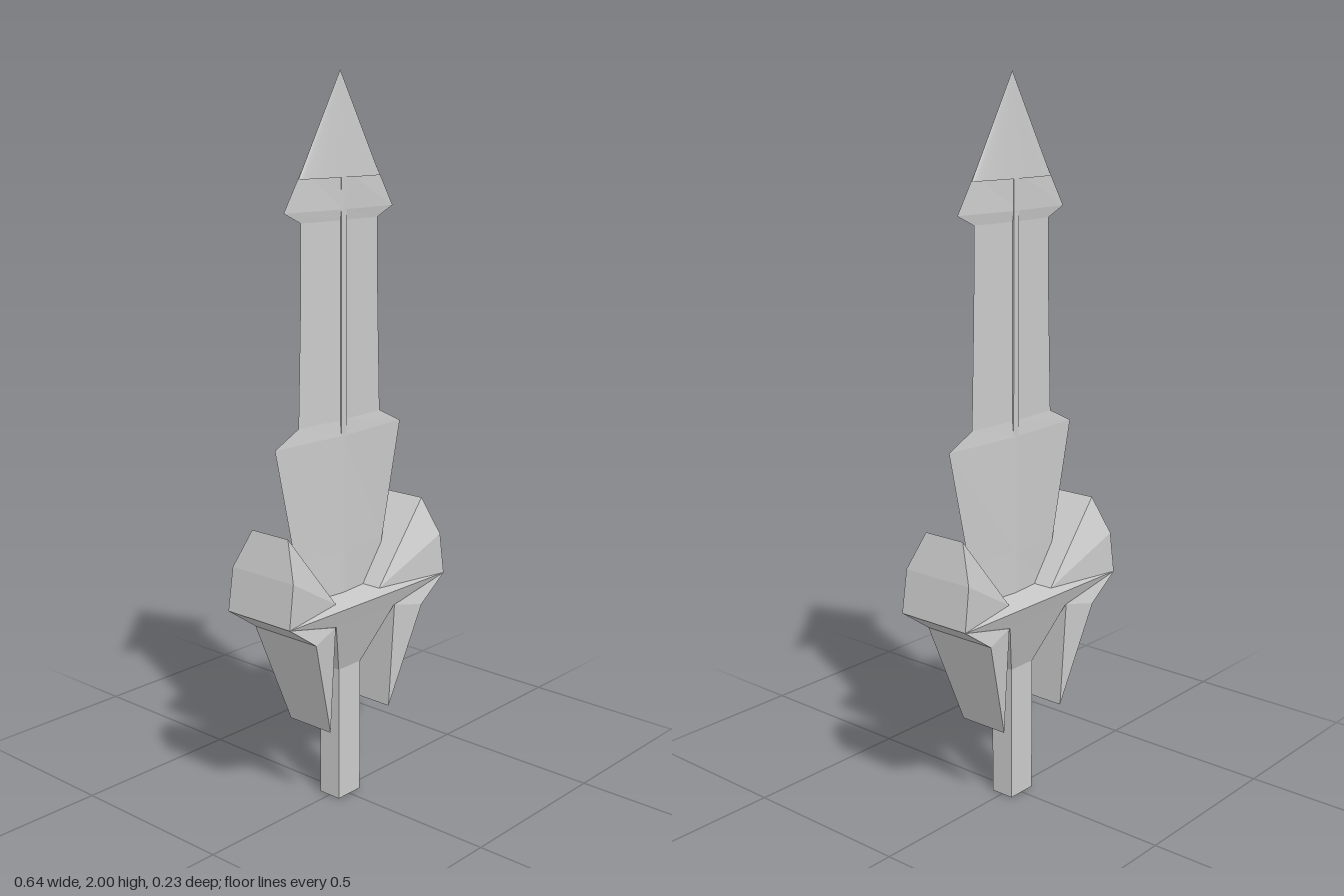
import * as THREE from 'three';

const material = new THREE.MeshStandardMaterial({ color: 0xcccccc, flatShading: true });
const smooth = new THREE.MeshStandardMaterial({ color: 0xcccccc });

function flatGeometry(triangles) {
  const geometry = new THREE.BufferGeometry();
  geometry.setAttribute('position', new THREE.Float32BufferAttribute(triangles.flat(2), 3));
  geometry.computeVertexNormals();
  return geometry;
}

// Solid symmetric in z: counter-clockwise outline of [x, y, halfDepth], fanned from its first corner
function slab(outline) {
  const front = outline;
  const back = outline.map(([x, y, z]) => [x, y, -z]);
  const n = outline.length;
  const tris = [];
  for (let i = 1; i < n - 1; i++) {
    tris.push([front[0], front[i], front[i + 1]], [back[0], back[i + 1], back[i]]);
  }
  for (let i = 0; i < n; i++) {
    const j = (i + 1) % n;
    tris.push([front[i], back[i], back[j]], [front[i], back[j], front[j]]);
  }
  return flatGeometry(tris);
}

// Same outline on the other side, keeping the first corner and the winding
function mirrored([first, ...rest]) {
  return [first, ...rest.reverse()].map(([x, y, z]) => [-x, y, z]);
}

// Diamond-section blade from rows of [y, halfWidth, halfThickness]
function diamondLoft(rows) {
  const rings = rows.map(([y, w, t]) => [[w, y, 0], [0, y, t], [-w, y, 0], [0, y, -t]]);
  const tris = [];
  for (let i = 0; i < rings.length - 1; i++) {
    const low = rings[i], high = rings[i + 1];
    for (let j = 0; j < 4; j++) {
      const k = (j + 1) % 4;
      tris.push([low[j], high[k], low[k]], [low[j], high[j], high[k]]);
    }
  }
  const [a, b, c, d] = rings[0];
  const [e, f, g, h] = rings[rings.length - 1];
  tris.push([a, b, c], [a, c, d], [e, g, f], [e, h, g]);
  return flatGeometry(tris);
}

export function createModel() {
  const model = new THREE.Group();
  const add = (name, geometry, mat = material) => {
    const mesh = new THREE.Mesh(geometry, mat);
    mesh.name = name;
    model.add(mesh);
    return mesh;
  };

  // Square grip
  add('grip', new THREE.BoxGeometry(0.09, 0.4, 0.07)).position.y = 0.2;

  // Crossguard, flat on top and narrowing to the grip
  add('crossguard', slab([
    [-0.12, 0.55, 0.094], [-0.045, 0.39, 0.035], [0.045, 0.39, 0.035],
    [0.12, 0.55, 0.094], [0.32, 0.6, 0.113], [-0.32, 0.6, 0.113],
  ]));

  // Raised wings and hanging claws on both ends of the guard
  const wing = [[0.09, 0.6, 0.065], [0.32, 0.6, 0.113], [0.303, 0.72, 0.111], [0.274, 0.825, 0.065]];
  const claw = [[0.123, 0.55, 0.094], [0.123, 0.24, 0.075], [0.22, 0.53, 0.113], [0.32, 0.6, 0.113]];
  add('leftWing', slab(wing));
  add('rightWing', slab(mirrored(wing)));
  add('leftClaw', slab(claw));
  add('rightClaw', slab(mirrored(claw)));

  // Stepped blade with a narrow central ridge
  add('blade', diamondLoft([
    [0.58, 0.15, 0.014], [0.72, 0.178, 0.014], [1.045, 0.252, 0.014],
    [1.088, 0.163, 0.010], [1.4, 0.153, 0.010], [1.62, 0.15, 0.010],
    [1.648, 0.212, 0.014], [1.752, 0.146, 0.013],
  ]));
  add('bladeRidge', new THREE.BoxGeometry(0.02, 1.15, 0.027)).position.y = 1.165;

  // Flattened smooth cone for the point
  const point = add('bladePoint', new THREE.ConeGeometry(0.157, 0.27, 48), smooth);
  point.scale.z = 0.1;
  point.position.y = 1.865;

  return model;
}
